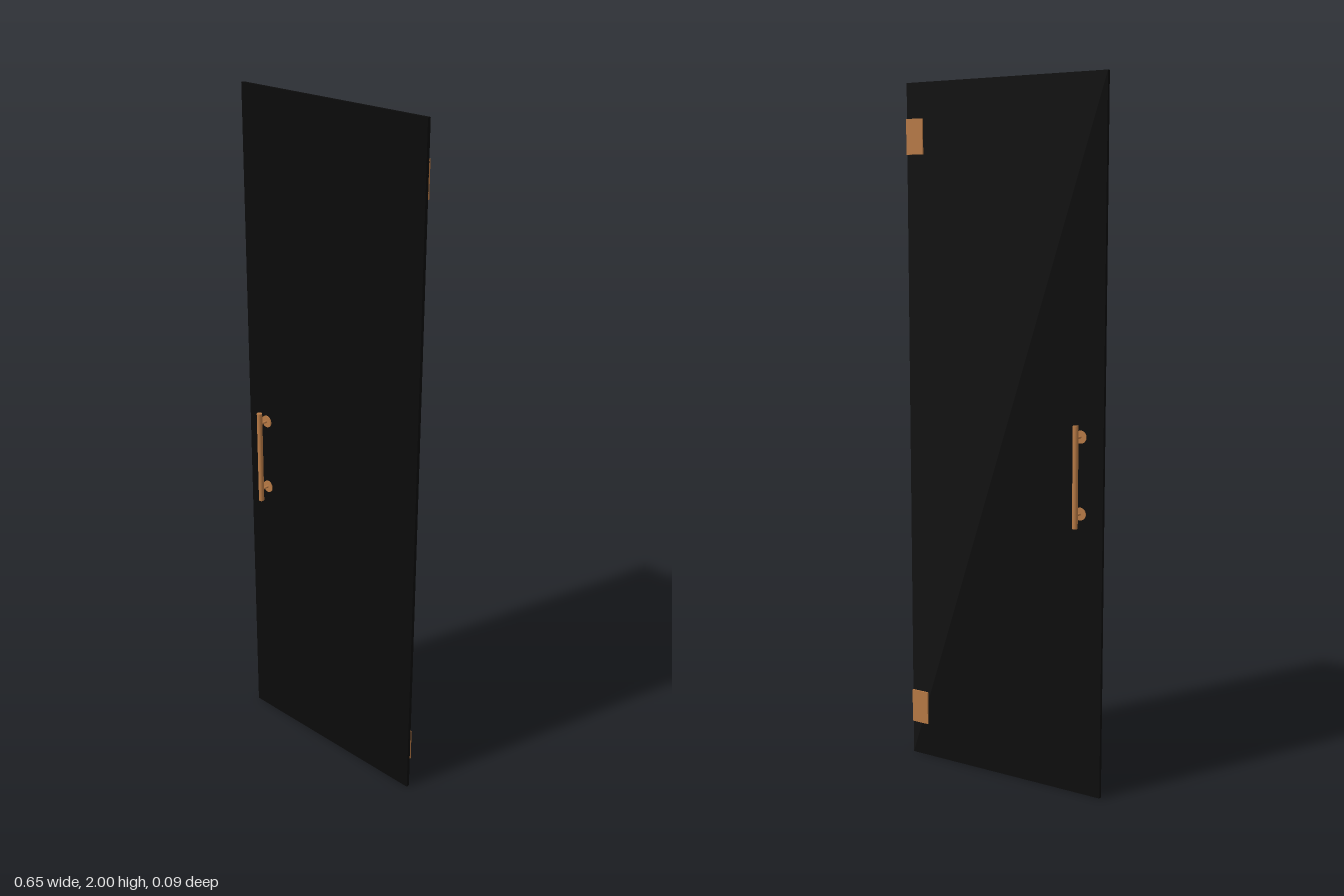
import * as THREE from 'three';

const black = new THREE.MeshStandardMaterial({ color: 0x0b0b0b });
const copper = new THREE.MeshStandardMaterial({ color: 0xb87a45 });

function add(parent, name, geometry, material, x, y, z) {
  const mesh = new THREE.Mesh(geometry, material);
  mesh.name = name;
  mesh.position.set(x, y, z);
  parent.add(mesh);
  return mesh;
}

// Pull bar with two posts and round mounting plates, standing off along +z
function createHandle(name) {
  const handle = new THREE.Group();
  handle.name = name;
  add(handle, 'pullBar', new THREE.CylinderGeometry(0.008, 0.008, 0.286, 24), copper, 0, 0.922, 0.035);
  for (const y of [0.815, 1.03]) {
    const post = add(handle, 'post', new THREE.CylinderGeometry(0.0035, 0.0035, 0.031, 16), copper, 0, y, 0.0195);
    const rosette = add(handle, 'mountingPlate', new THREE.CylinderGeometry(0.018, 0.018, 0.004, 32), copper, 0, y, 0.006);
    post.rotation.x = rosette.rotation.x = Math.PI / 2;
  }
  return handle;
}

export function createModel() {
  const door = new THREE.Group();
  door.name = 'door';

  add(door, 'doorPanel', new THREE.BoxGeometry(0.646, 2, 0.01), black, 0, 1, 0);

  // Hinge plates on the back, flush with the left edge
  for (const y of [0.15, 1.85]) {
    add(door, 'hingePlate', new THREE.BoxGeometry(0.056, 0.1, 0.005), copper, 0.295, y, -0.007);
  }

  // The same pull handle on both faces
  const front = createHandle('frontHandle');
  const back = createHandle('backHandle');
  back.rotation.y = Math.PI;
  front.position.x = back.position.x = -0.253;
  door.add(front, back);

  return door;
}
